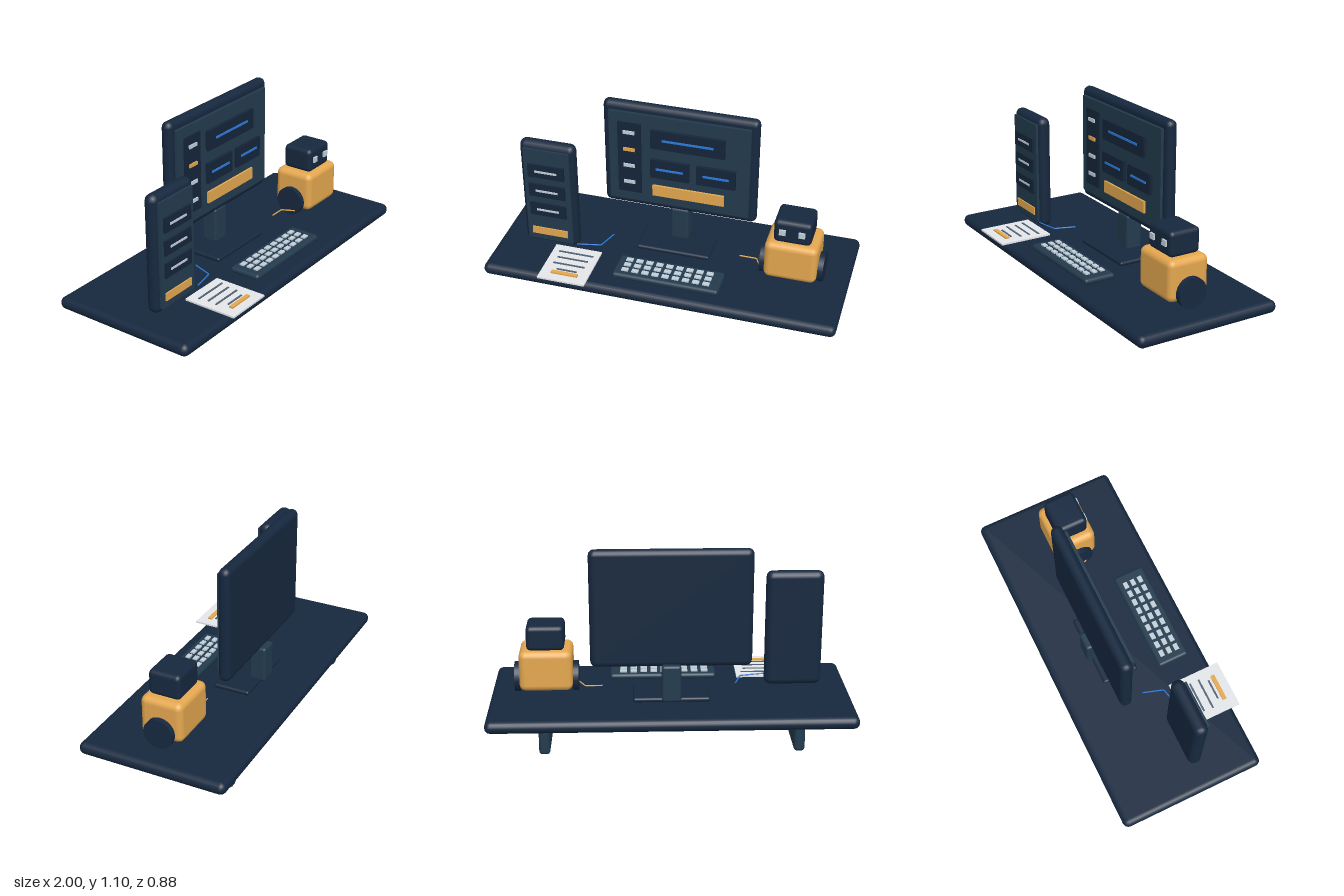
import * as THREE from 'three';
import { RoundedBoxGeometry } from 'three/addons/geometries/RoundedBoxGeometry.js';

const paint = (color) => new THREE.MeshStandardMaterial({ color });
const navy = paint(0x16283f);
const slate = paint(0x233b4e);
const card = paint(0x15253a);
const blue = paint(0x2b7bdc);
const amber = paint(0xe5a850);
const pale = paint(0xc3d0da);
const paperWhite = paint(0xe4e7ea);
const ink = paint(0x4f6475);

// Box given by its limits on each axis; a radius rounds its edges
function block(parent, name, material, [x0, x1], [y0, y1], [z0, z1], radius = 0) {
  const size = [x1 - x0, y1 - y0, z1 - z0];
  const geometry = radius
    ? new RoundedBoxGeometry(...size, 2, radius)
    : new THREE.BoxGeometry(...size);
  const mesh = new THREE.Mesh(geometry, material);
  mesh.name = name;
  mesh.position.set((x0 + x1) / 2, (y0 + y1) / 2, (z0 + z1) / 2);
  parent.add(mesh);
  return mesh;
}

// Thin bar centred on height y
const bar = (parent, name, material, x, y, h, z) =>
  block(parent, name, material, x, [y - h / 2, y + h / 2], z);

function section(parent, name) {
  const group = new THREE.Group();
  group.name = name;
  parent.add(group);
  return group;
}

function buildDesk(root) {
  const desk = section(root, 'desk');
  block(desk, 'deskTop', navy, [-1, 1], [0.163, 0.232], [-0.442, 0.402], 0.033);
  for (const x of [-0.69, 0.69]) {
    block(desk, 'deskLeg', slate, [x - 0.03, x + 0.03], [0, 0.19], [-0.345, 0], 0.018);
  }
}

function buildMonitor(root) {
  const monitor = section(root, 'monitor');
  block(monitor, 'monitorCase', navy, [-0.44, 0.44], [0.438, 1.096], [-0.19, -0.122], 0.033);
  block(monitor, 'screen', slate, [-0.4, 0.4], [0.486, 1.05], [-0.13, -0.105]);
  block(monitor, 'standNeck', slate, [-0.053, 0.053], [0.245, 0.455], [-0.22, -0.122], 0.015);
  block(monitor, 'standBase', navy, [-0.213, 0.21], [0.234, 0.26], [-0.193, 0.018], 0.012);

  // Side menu
  block(monitor, 'sidebar', card, [-0.348, -0.214], [0.543, 0.992], [-0.106, -0.096]);
  [0.933, 0.824, 0.72, 0.612].forEach((y, i) =>
    bar(monitor, 'menuItem', i === 1 ? amber : pale, [-0.315, -0.249], y, 0.02, [-0.097, -0.089]));

  // Cards, each with a blue line
  const cards = [
    [[-0.157, 0.262], [0.856, 0.972], [-0.09, 0.2]],
    [[-0.16, 0.063], [0.666, 0.783], [-0.126, 0.029]],
    [[0.104, 0.325], [0.666, 0.783], [0.141, 0.289]],
  ];
  for (const [x, y, line] of cards) {
    block(monitor, 'screenCard', card, x, y, [-0.106, -0.087]);
    bar(monitor, 'cardLine', blue, line, (y[0] + y[1]) / 2 + 0.002, 0.012, [-0.088, -0.082]);
  }
  block(monitor, 'screenButton', amber, [-0.15, 0.262], [0.543, 0.61], [-0.106, -0.093]);
}

function buildTower(root) {
  const tower = section(root, 'computerTower');
  block(tower, 'towerCase', navy, [-0.853, -0.532], [0.235, 0.902], [0.029, 0.106], 0.037);
  block(tower, 'towerPanel', slate, [-0.825, -0.56], [0.267, 0.866], [0.095, 0.118]);
  for (const y of [0.733, 0.606, 0.479]) {
    bar(tower, 'driveSlot', card, [-0.8, -0.588], y, 0.083, [0.117, 0.129]);
    bar(tower, 'slotLine', pale, [-0.76, -0.63], y, 0.012, [0.128, 0.133]);
  }
  bar(tower, 'towerButton', amber, [-0.797, -0.588], 0.328, 0.045, [0.117, 0.125]);
}

function buildKeyboard(root) {
  const keyboard = section(root, 'keyboard');
  block(keyboard, 'keyboardBase', slate, [-0.264, 0.338], [0.238, 0.272], [0.133, 0.316], 0.016);
  for (const z of [0.177, 0.222, 0.268]) {
    for (let i = 0; i < 9; i++) {
      const x = -0.2 + i * 0.0578;
      block(keyboard, 'key', pale, [x - 0.019, x + 0.019], [0.268, 0.28], [z - 0.013, z + 0.013]);
    }
  }
}

function buildPaper(root) {
  const note = section(root, 'note');
  block(note, 'sheet', paperWhite, [-0.655, -0.382], [0.246, 0.256], [0.132, 0.442]);
  const lines = [[-0.617, -0.413, 0.19], [-0.607, -0.428, 0.243], [-0.612, -0.428, 0.297], [-0.574, -0.456, 0.347]];
  for (const [x0, x1, z] of lines) {
    block(note, 'textLine', ink, [x0, x1], [0.255, 0.26], [z - 0.005, z + 0.005]);
  }
  block(note, 'highlight', amber, [-0.594, -0.44], [0.255, 0.264], [0.367, 0.391]);
}

function buildRobot(root) {
  const robot = section(root, 'robot');
  block(robot, 'robotBody', amber, [0.54, 0.834], [0.274, 0.505], [-0.121, 0.121], 0.036);
  block(robot, 'robotHead', navy, [0.583, 0.791], [0.502, 0.643], [-0.092, 0.091], 0.025);
  for (const x of [0.633, 0.739]) {
    block(robot, 'robotEye', pale, [x - 0.018, x + 0.018], [0.56, 0.593], [0.085, 0.101]);
  }
  for (const x of [0.525, 0.849]) {
    const wheel = new THREE.Mesh(new THREE.CylinderGeometry(0.084, 0.084, 0.03, 24), navy);
    wheel.name = 'robotWheel';
    wheel.rotation.z = Math.PI / 2;
    wheel.position.set(x, 0.325, 0);
    robot.add(wheel);
  }
}

// Bent cable lying at one height through [x, z] points
function buildCable(root, name, material, points) {
  const path = new THREE.CurvePath();
  const corners = points.map(([x, z]) => new THREE.Vector3(x, 0.274, z));
  for (let i = 1; i < corners.length; i++) {
    path.add(new THREE.LineCurve3(corners[i - 1], corners[i]));
  }
  const cable = new THREE.Mesh(new THREE.TubeGeometry(path, 24, 0.004, 6), material);
  cable.name = name;
  root.add(cable);
}

export function createModel() {
  const model = new THREE.Group();
  model.name = 'deskWorkstation';
  buildDesk(model);
  buildMonitor(model);
  buildTower(model);
  buildKeyboard(model);
  buildPaper(model);
  buildRobot(model);
  buildCable(model, 'towerCable', blue, [[-0.535, 0.12], [-0.4, 0.092], [-0.362, -0.025]]);
  buildCable(model, 'robotCable', amber, [[0.378, -0.032], [0.475, -0.032], [0.515, 0.045]]);
  return model;
}
